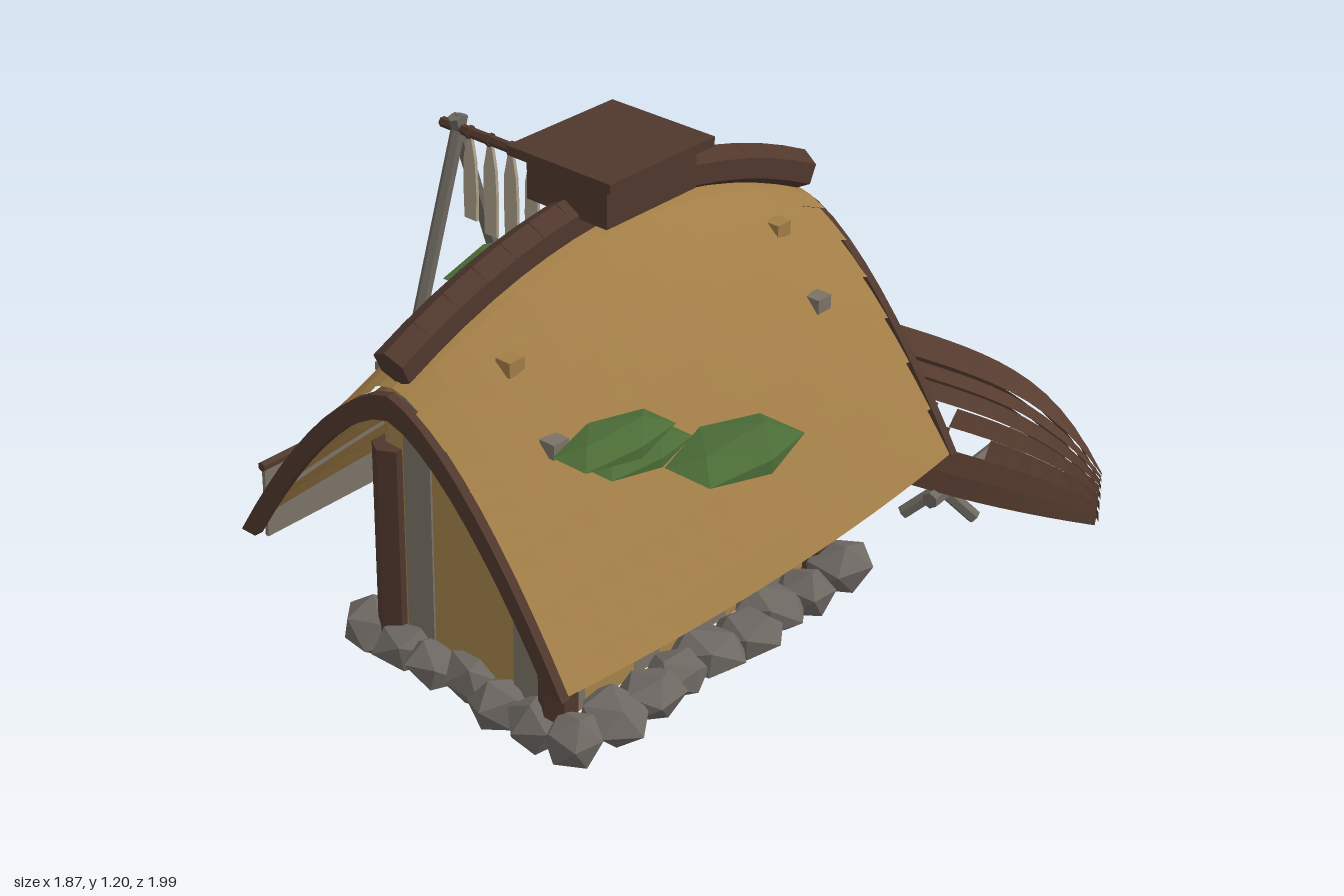
import * as THREE from 'three';

const mat = (name, color) => new THREE.MeshStandardMaterial({ name, color, flatShading: true, side: THREE.DoubleSide });
const M = {
  roof: mat('roofPlanks', 0xa17d46),
  wall: mat('ochreWall', 0xa5844b),
  dark: mat('darkWood', 0x50382d),
  hull: mat('hullWood', 0x583d30),
  stripe: mat('weatheredPlank', 0x7c7367),
  rock: mat('stone', 0x6e6863),
  pole: mat('greyPole', 0x6d6860),
  fish: mat('driedFish', 0xada18b),
  moss: mat('moss', 0x4c6d37),
};
const V = (x, y, z) => new THREE.Vector3(x, y, z);

export function createModel() {
  const root = new THREE.Group();
  let seed = 7;
  const rnd = () => (seed = (seed * 16807) % 2147483647) / 2147483647;
  const add = (name, geo, m, parent = root) => {
    const mesh = new THREE.Mesh(geo, m);
    mesh.name = name;
    parent.add(mesh);
    return mesh;
  };
  const group = (name) => {
    const g = new THREE.Group();
    g.name = name;
    root.add(g);
    return g;
  };
  // box given by its limits
  const box = (name, x0, x1, y0, y1, z0, z1, m, parent) => {
    const b = add(name, new THREE.BoxGeometry(x1 - x0, y1 - y0, z1 - z0), m, parent);
    b.position.set((x0 + x1) / 2, (y0 + y1) / 2, (z0 + z1) / 2);
    return b;
  };
  // round log between two points
  const rod = (name, a, b, r, m, parent, n = 6) => {
    const geo = new THREE.CylinderGeometry(r, r, a.distanceTo(b), n).rotateY(Math.PI / 6);
    const c = add(name, geo, m, parent);
    c.position.copy(a).add(b).multiplyScalar(0.5);
    c.quaternion.setFromUnitVectors(V(0, 1, 0), b.clone().sub(a).normalize());
    return c;
  };
  // surface from rows of points; skip(i, j) leaves a hole
  const sheet = (rows, skip = () => false) => {
    const pos = [];
    for (let i = 0; i + 1 < rows.length; i++) {
      for (let j = 0; j + 1 < rows[i].length; j++) {
        if (skip(i, j)) continue;
        const a = rows[i][j], b = rows[i][j + 1], c = rows[i + 1][j + 1], d = rows[i + 1][j];
        for (const p of [a, b, c, a, c, d]) pos.push(p.x, p.y, p.z);
      }
    }
    const g = new THREE.BufferGeometry();
    g.setAttribute('position', new THREE.Float32BufferAttribute(pos, 3));
    g.computeVertexNormals();
    return g;
  };

  // roof rules: bowed ridge, convex slopes
  const CX = -0.272, CZ = 0.353;
  const bow = (x) => 1 - ((x - CX) / 0.65) ** 2;
  const ridgeY = (x) => 0.87 + 0.16 * bow(x);
  const rise = (t, power = 1.4) => 1 - Math.abs(t) ** power;
  const roofPoint = (x, t, side, lift = 0) =>
    V(x, 0.345 + (ridgeY(x) - 0.345) * rise(t) + lift * 0.7, CZ + side * ((0.46 + 0.037 * bow(x)) * t + lift * 0.7));

  const roof = group('roof');
  const ROWS = 7;
  for (const side of [1, -1]) {
    for (let k = 0; k < ROWS; k++) {
      // each row overlaps the one below
      const t0 = 1 - k / ROWS, t1 = 1 - (k + 1) / ROWS;
      const profile = [[t1, 0], [(t0 + t1) / 2, 0.006], [t0 + (k ? 0.012 : 0), 0.012]];
      const rows = profile.map(([t, lift]) =>
        Array.from({ length: 17 }, (_, i) => roofPoint(-0.915 + 1.286 * i / 16, t, side, lift)));
      add('roofPlankRow', sheet(rows), M.roof, roof);
    }
    // pegs on the slopes
    for (const x of [-0.7, 0.15]) {
      for (const [t, m] of [[0.23, M.roof], [0.48, M.stripe]]) {
        const p = roofPoint(x, t, side, 0.01);
        box('roofPeg', x - 0.022, x + 0.022, p.y - 0.022, p.y + 0.012, p.z - 0.02, p.z + 0.02, m, roof);
      }
    }
  }

  // ridge beam of short logs
  for (let i = 0; i < 16; i++) {
    const x0 = -0.915 + 1.286 * i / 16, x1 = x0 + 0.0815;
    rod('ridgeLog', V(x0, ridgeY(x0) + 0.043, CZ), V(x1, ridgeY(x1) + 0.043, CZ), 0.047, M.dark, roof);
  }
  // smoke vent
  box('smokeVent', -0.412, -0.132, 1.08, 1.175, 0.245, 0.47, M.dark, roof);
  box('smokeVentLid', -0.437, -0.11, 1.178, 1.2, 0.212, 0.5, M.dark, roof);

  // arched boards on the gable ends
  const arch = (half, top, n = 20) => Array.from({ length: n + 1 }, (_, i) => {
    const t = 1 - 2 * i / n;
    return new THREE.Vector2(t * half, 0.35 + top * rise(t, 1.55));
  });
  const archShape = new THREE.Shape([...arch(0.475, 0.512), ...arch(0.432, 0.455).reverse()]);
  for (const x of [0.386, -0.91]) {
    const g = new THREE.ExtrudeGeometry(archShape, { depth: 0.022, bevelEnabled: false }).rotateY(-Math.PI / 2);
    add('gableBoard', g, M.dark, roof).position.set(x, 0, CZ);
  }

  // hollow house: long walls and gables that follow the roof
  const house = group('house');
  for (const z of [0.603, 0.105]) box('longWall', -0.705, 0.165, 0.07, 0.68, z - 0.003, z + 0.003, M.wall, house);
  const section = [new THREE.Vector2(0.25, 0.07)];
  for (let i = 0; i <= 12; i++) {
    const d = 0.25 - 0.5 * i / 12;
    section.push(new THREE.Vector2(d, 0.335 + 0.59 * rise(d / 0.475)));
  }
  section.push(new THREE.Vector2(-0.25, 0.07));
  for (const x of [0.165, -0.705]) {
    const g = new THREE.ShapeGeometry(new THREE.Shape(section)).rotateY(-Math.PI / 2);
    add('gableWall', g, M.wall, house).position.set(x, 0, CZ);
  }

  for (const x of [-0.7, 0.157]) {
    for (const z of [0.6, 0.113]) {
      rod('cornerPost', V(x, 0.06, z), V(x, 0.56, z), 0.044, M.dark, house);
    }
  }
  // weathered planks set in the walls, seen inside and out
  for (const x of [-0.665, -0.425, -0.2, 0.037]) {
    box('wallPlank', x - 0.04, x + 0.04, 0.075, 0.67, 0.598, 0.608, M.stripe, house);
    box('wallPlank', x - 0.04, x + 0.04, 0.075, 0.67, 0.1, 0.11, M.stripe, house);
  }
  for (const x of [0.165, -0.705]) {
    for (const z of [0.52, 0.2]) box('gablePlank', x - 0.005, x + 0.005, 0.075, 0.73, z - 0.04, z + 0.04, M.stripe, house);
  }
  // back door, step and beam on the roof
  box('door', -0.4, -0.15, 0.09, 0.5, 0.09, 0.112, M.hull, house);
  for (const x of [-0.425, -0.125]) box('doorJamb', x - 0.025, x + 0.025, 0.08, 0.55, 0.075, 0.113, M.dark, house);
  box('doorLintel', -0.45, -0.1, 0.5, 0.56, 0.075, 0.113, M.dark, house);
  box('doorStep', -0.46, -0.09, 0.035, 0.08, -0.11, 0.06, M.pole, house);
  box('roofBeam', -0.53, -0.02, 0.67, 0.76, 0.03, 0.095, M.dark, house);

  // stone footing
  const stones = group('footing');
  const stone = (x, z) => {
    const s = add('footingStone', new THREE.IcosahedronGeometry(1, 0), M.rock, stones);
    s.scale.set(0.068 + rnd() * 0.03, 0.05 + rnd() * 0.018, 0.06 + rnd() * 0.03);
    s.position.set(x + (rnd() - 0.5) * 0.03, 0.062 + rnd() * 0.012, z + (rnd() - 0.5) * 0.03);
    s.rotation.set((rnd() - 0.5) * 0.5, rnd() * 6, (rnd() - 0.5) * 0.5);
  };
  for (let i = 0; i <= 8; i++) for (const z of [0.665, 0.05]) stone(-0.715 + 0.11 * i, z);
  for (let i = 1; i < 6; i++) for (const x of [-0.715, 0.168]) stone(x, 0.05 + 0.1025 * i);

  // moss clumps: x, y, z centre and half sizes
  for (const [x, y, z, a, b, c] of [
    [-0.6, 0.742, 0.665, 0.16, 0.025, 0.085], [-0.56, 0.71, 0.69, 0.145, 0.02, 0.08],
    [-0.35, 0.655, 0.775, 0.18, 0.032, 0.115], [-0.115, 0.62, -0.095, 0.23, 0.035, 0.135],
    [-0.21, 0.74, 0.0, 0.13, 0.03, 0.1], [-0.262, 0.808, 0.045, 0.185, 0.03, 0.095]]) {
    const m = add('mossClump', new THREE.IcosahedronGeometry(1, 0), M.moss);
    m.scale.set(a, b, c);
    m.position.set(x, y, z);
  }

  // board hung behind the house
  box('hangingBoard', -0.71, 0.165, 0.15, 0.33, -0.31, -0.3, M.stripe);
  rod('boardRail', V(-0.715, 0.335, -0.305), V(0.167, 0.335, -0.305), 0.012, M.dark);

  // drying rack
  const rack = group('dryingRack');
  rod('rackPole', V(0.56, 0.57, -1), V(0.56, 0.57, -0.115), 0.015, M.dark, rack);
  for (const z of [-0.18, -0.94]) {
    for (const s of [1, -1]) rod('rackLeg', V(0.56 - s * 0.012, 0.605, z), V(0.56 + s * 0.175, 0.025, z), 0.02, M.pole, rack);
  }
  const drops = [0.3, 0.29, 0.29, 0.345, 0.33, 0.295, 0.29, 0.31, 0.29, 0.315];
  drops.forEach((y, i) => {
    const z = -0.213 - i * 0.0758;
    const outline = [[-0.008, 0.555], [-0.022, 0.49], [-0.024, 0.4], [-0.022, y], [0.022, y], [0.024, 0.4], [0.02, 0.49], [0.008, 0.555]];
    const shape = new THREE.Shape(outline.map((p) => new THREE.Vector2(...p)));
    const g = new THREE.ExtrudeGeometry(shape, { depth: 0.01, bevelEnabled: false }).rotateY(-Math.PI / 2);
    add('driedFish', g, M.fish, rack).position.set(0.565, 0, z);
    rod('lashing', V(0.56, 0.57, z - 0.006), V(0.56, 0.57, z + 0.006), 0.019, M.dark, rack);
  });

  // upturned boat of overlapping strakes
  const boat = group('boat');
  boat.position.set(0.687, 0, 0.43);
  boat.rotation.y = 0.12;
  const hullPoint = (t, a, lift) => {
    const w = 0.211 * (1 - Math.abs(t) ** 2.2) + 0.004;
    const keel = 0.375 - 0.18 * t ** 4, rim = 0.14 - 0.08 * t * t;
    return [(w + lift) * Math.sin(a), rim + (keel - rim + lift) * Math.cos(a), t * 0.565];
  };
  const STRAKES = 7, STEPS = 24;
  for (const side of [1, -1]) {
    for (let k = 0; k < STRAKES; k++) {
      const a0 = (k / STRAKES) * Math.PI / 2, a1 = ((k + 1) / STRAKES) * Math.PI / 2;
      const rows = [[a0, 0], [a1, 0.012]].map(([a, lift]) =>
        Array.from({ length: STEPS + 1 }, (_, i) => {
          const t = -1 + 2 * i / STEPS;
          const [x, y, z] = hullPoint(t, a, lift * (1 - 0.5 * t * t));
          return V(x * side, y, z);
        }));
      // broken planks
      const hole = (i, j) => (k === 3 && j === 16) || (k === 4 && (j === 17 || j === 18)) || (k === 5 && side < 0 && j === 6);
      add('strake', sheet(rows, hole), M.hull, boat);
    }
  }

  // trestles under the boat
  const trestles = group('trestles');
  for (const [z, x0, x1] of [[0.16, 0.445, 0.87], [0.66, 0.5, 0.93]]) {
    rod('trestleBar', V(x0, 0.11, z + 0.025), V(x1, 0.11, z - 0.01), 0.021, M.pole, trestles);
    for (const x of [x0 + 0.08, x1 - 0.08]) {
      for (const s of [1, -1]) {
        rod('trestleLeg', V(x - s * 0.01, 0.12, z - s * 0.02), V(x + s * 0.05, 0.025, z + s * 0.07), 0.018, M.pole, trestles);
      }
    }
  }
  return root;
}
